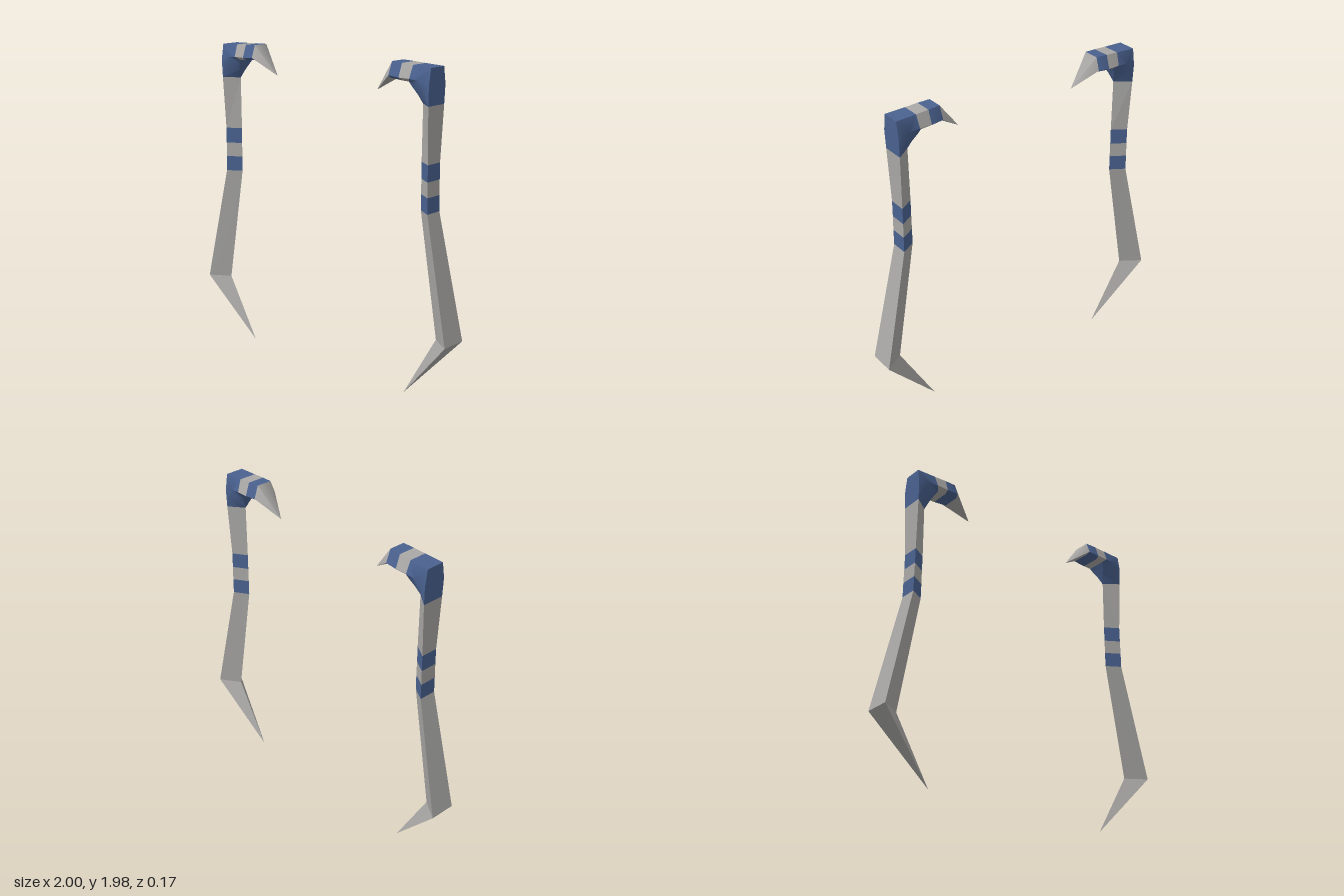
import * as THREE from 'three';
import { toCreasedNormals } from 'three/addons/utils/BufferGeometryUtils.js';

const steel = new THREE.MeshStandardMaterial({ color: 0xa9a8a6 });
steel.name = 'grey steel';
const blue = new THREE.MeshStandardMaterial({ color: 0x4a6290 });
blue.name = 'blue wrap';
const palette = [steel, blue];

// A section is three points [x, y, half depth]: outer, side and inner edge.
const section = (outer, side, inner) => [outer, side, inner];
// Triangular section: flat outer face, ridge pointing inward.
const tri = (xOuter, xInner, y, z) =>
  section([xOuter, y, z], [xOuter, y, z], [xInner, y, 0]);
const point = (x, y) => section([x, y, 0], [x, y, 0], [x, y, 0]);

// Loft through sections; colours[i] is the palette index of span i.
function loft(sections, colours, side, crease) {
  const positions = [], index = [];
  for (const [o, s, i] of sections) {
    for (const [p, f] of [[o, 1], [s, 1], [i, 1], [i, -1], [s, -1], [o, -1]]) {
      positions.push(p[0] * side, p[1], p[2] * f);
    }
  }
  const geometry = new THREE.BufferGeometry();
  for (let r = 0; r < sections.length - 1; r++) {
    geometry.addGroup(index.length, 36, colours[r]);
    for (let j = 0; j < 6; j++) {
      const k = (j + 1) % 6;
      const a = r * 6 + j, b = r * 6 + k, c = b + 6, d = a + 6;
      if (side > 0) index.push(a, c, b, a, d, c);
      else index.push(a, b, c, a, c, d);
    }
  }
  geometry.setAttribute('position', new THREE.Float32BufferAttribute(positions, 3));
  geometry.setIndex(index);
  return toCreasedNormals(geometry, crease);
}

function createSickle(side) {
  const sickle = new THREE.Group();
  const add = (name, sections, colours, crease = 0.1) => {
    const mesh = new THREE.Mesh(loft(sections, colours, side, crease), palette);
    mesh.name = name;
    sickle.add(mesh);
  };

  // Lower spike and long shaft
  const knee = tri(1.0, 0.873, 0.405, 0.083);
  const gripBase = tri(0.832, 0.742, 1.155, 0.055);
  const gripTop = tri(0.828, 0.74, 1.438, 0.055);
  const neck = tri(0.834, 0.742, 1.768, 0.071);
  add('lowerSpike', [point(0.642, 0.01), knee], [0]);
  add('lowerShaft', [knee, gripBase], [0]);

  // Banded grip
  add('grip', [
    gripBase,
    tri(0.831, 0.741, 1.25, 0.055),
    tri(0.829, 0.741, 1.34, 0.055),
    gripTop,
  ], [1, 0, 1]);
  add('upperShaft', [gripTop, neck], [0]);

  // Bent head with bands and a pointed beak
  add('head', [
    neck,
    section([0.837, 1.88, 0.074], [0.8, 1.86, 0.08], [0.722, 1.82, 0.025]),
    section([0.837, 1.98, 0.058], [0.765, 1.905, 0.082], [0.7, 1.865, 0.05]),
    section([0.71, 1.985, 0.056], [0.705, 1.91, 0.083], [0.685, 1.89, 0.058]),
    section([0.63, 1.989, 0.055], [0.63, 1.91, 0.083], [0.63, 1.893, 0.058]),
    section([0.555, 1.992, 0.05], [0.553, 1.915, 0.079], [0.545, 1.9, 0.055]),
    point(0.405, 1.81),
  ], [1, 1, 1, 0, 1, 0], 0.9);
  return sickle;
}

export function createModel() {
  const model = new THREE.Group();
  model.name = 'sicklePair';
  for (const side of [1, -1]) {
    const sickle = createSickle(side);
    sickle.name = side > 0 ? 'leftSickle' : 'rightSickle';
    model.add(sickle);
  }
  return model;
}
